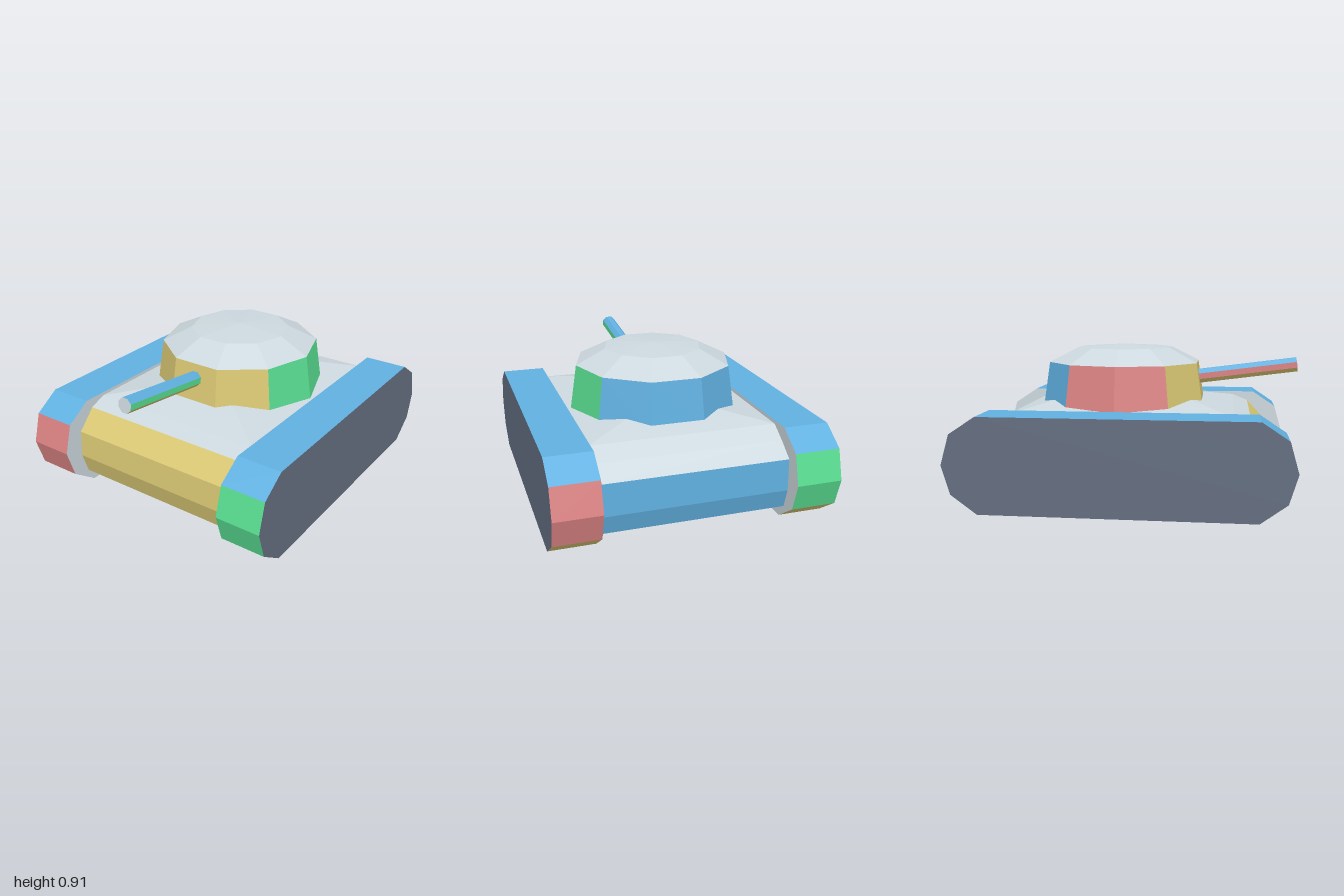
import * as THREE from 'three';

const material = (name, color) => {
  const m = new THREE.MeshStandardMaterial({ color, flatShading: true });
  m.name = name;
  return m;
};
const green = material('green', 0x58dc90);
const red = material('red', 0xda8282);
const silver = material('silver', 0xccd8de);
const slate = material('slate', 0x646e80);
const yellow = material('yellow', 0xdac874);
const blue = material('blue', 0x60b0e0);

// Colours every flat face by the axis it mostly points along.
// palette order: +x, -x, +y, -y, +z, -z
function paintedMesh(name, source, palette) {
  const flat = source.index ? source.toNonIndexed() : source;
  const pos = flat.attributes.position;
  const buckets = palette.map(() => []);
  const tri = new THREE.Triangle();
  const n = new THREE.Vector3();
  for (let i = 0; i < pos.count; i += 3) {
    tri.setFromAttributeAndIndices(pos, i, i + 1, i + 2);
    if (tri.getArea() < 1e-8) continue;
    tri.getNormal(n);
    const size = [Math.abs(n.x), Math.abs(n.y) * 1.02, Math.abs(n.z)];
    const axis = size.indexOf(Math.max(...size));
    const side = axis * 2 + (n.getComponent(axis) < 0 ? 1 : 0);
    for (const p of [tri.a, tri.b, tri.c]) buckets[side].push(p.x, p.y, p.z);
  }
  const geometry = new THREE.BufferGeometry();
  geometry.setAttribute('position', new THREE.Float32BufferAttribute(buckets.flat(), 3));
  let start = 0;
  buckets.forEach((b, i) => {
    if (b.length) geometry.addGroup(start, b.length / 3, i);
    start += b.length / 3;
  });
  geometry.computeVertexNormals();
  const mesh = new THREE.Mesh(geometry, palette);
  mesh.name = name;
  return mesh;
}

// Side profile given as [z, y], extruded across x and centred on it
function sideProfile(points, width) {
  const shape = new THREE.Shape(points.map(([z, y]) => new THREE.Vector2(z, y)));
  const geometry = new THREE.ExtrudeGeometry(shape, { depth: width, bevelEnabled: false });
  geometry.translate(0, 0, -width / 2);
  return geometry.rotateY(-Math.PI / 2);
}

// Flat panel facing down, outline given as [x, z]
function floorPanel(name, points, mat) {
  const shape = new THREE.Shape(points.map(([x, z]) => new THREE.Vector2(x, z)));
  const mesh = new THREE.Mesh(new THREE.ShapeGeometry(shape).rotateX(Math.PI / 2), mat);
  mesh.position.y = 0.078;
  mesh.name = name;
  return mesh;
}

export function createModel() {
  const model = new THREE.Group();
  model.name = 'tank';
  const hullPalette = [green, red, silver, slate, yellow, blue];

  // Tracks: the two are turned half round from each other
  const trackProfile = [
    [-0.8, 0], [0.75, 0], [0.9, 0.11], [0.95, 0.275], [0.9, 0.45], [0.75, 0.55],
    [-0.8, 0.55], [-0.95, 0.45], [-1, 0.275], [-0.95, 0.11],
  ];
  const trackPalettes = {
    leftTrack: [slate, silver, blue, yellow, green, red],
    rightTrack: [silver, slate, blue, yellow, red, green],
  };
  for (const [name, palette] of Object.entries(trackPalettes)) {
    const track = paintedMesh(name, sideProfile(trackProfile, 0.27), palette);
    track.position.x = name === 'leftTrack' ? 0.685 : -0.685;
    model.add(track);
  }

  // Hull body between the tracks
  const hullProfile = [
    [-0.85, 0.083], [0.79, 0.083], [0.83, 0.21], [0.82, 0.37], [0.71, 0.49], [0.61, 0.53],
    [-0.68, 0.53], [-0.78, 0.465], [-0.88, 0.39], [-0.885, 0.2],
  ];
  model.add(paintedMesh('hull', sideProfile(hullProfile, 1.1), hullPalette));

  // Raised deck: a box with its top drawn inwards
  const deck = new THREE.BoxGeometry(1.1, 0.055, 1.29);
  const p = deck.attributes.position;
  for (let i = 0; i < p.count; i++) {
    if (p.getY(i) > 0) {
      p.setX(i, Math.sign(p.getX(i)) * 0.25);
      p.setZ(i, Math.sign(p.getZ(i)) * 0.405 - 0.01);
    }
  }
  deck.translate(0, 0.5575, -0.035);
  model.add(paintedMesh('deck', deck, [silver, silver, silver, slate, silver, silver]));

  // Two-colour hatch panel under the hull
  model.add(floorPanel('hatchCorner', [[0.16, 0.25], [-0.16, 0.25], [0.16, -0.14]], blue));
  model.add(floorPanel('hatch', [[0.16, -0.14], [-0.16, 0.25], [-0.16, -0.36], [0.16, -0.36]], green));

  // Ten-sided turret with a shallow domed roof
  const turretProfile = [[0.525, 0.5], [0.48, 0.8], [0.3, 0.89], [0, 0.91]]
    .map(([r, y]) => new THREE.Vector2(r, y));
  const turret = paintedMesh('turret', new THREE.LatheGeometry(turretProfile, 10, Math.PI / 2), hullPalette);
  turret.position.z = -0.075;
  model.add(turret);

  // Eight-sided gun barrel, raised slightly
  const barrelGeometry = new THREE.CylinderGeometry(0.046, 0.046, 0.65, 8, 1, false, Math.PI / 8);
  barrelGeometry.rotateX(Math.PI / 2);
  const barrel = paintedMesh('barrel', barrelGeometry, [green, red, blue, yellow, silver, slate]);
  barrel.position.set(0, 0.746, 0.672);
  barrel.rotation.x = -Math.atan(0.13);
  model.add(barrel);

  return model;
}
